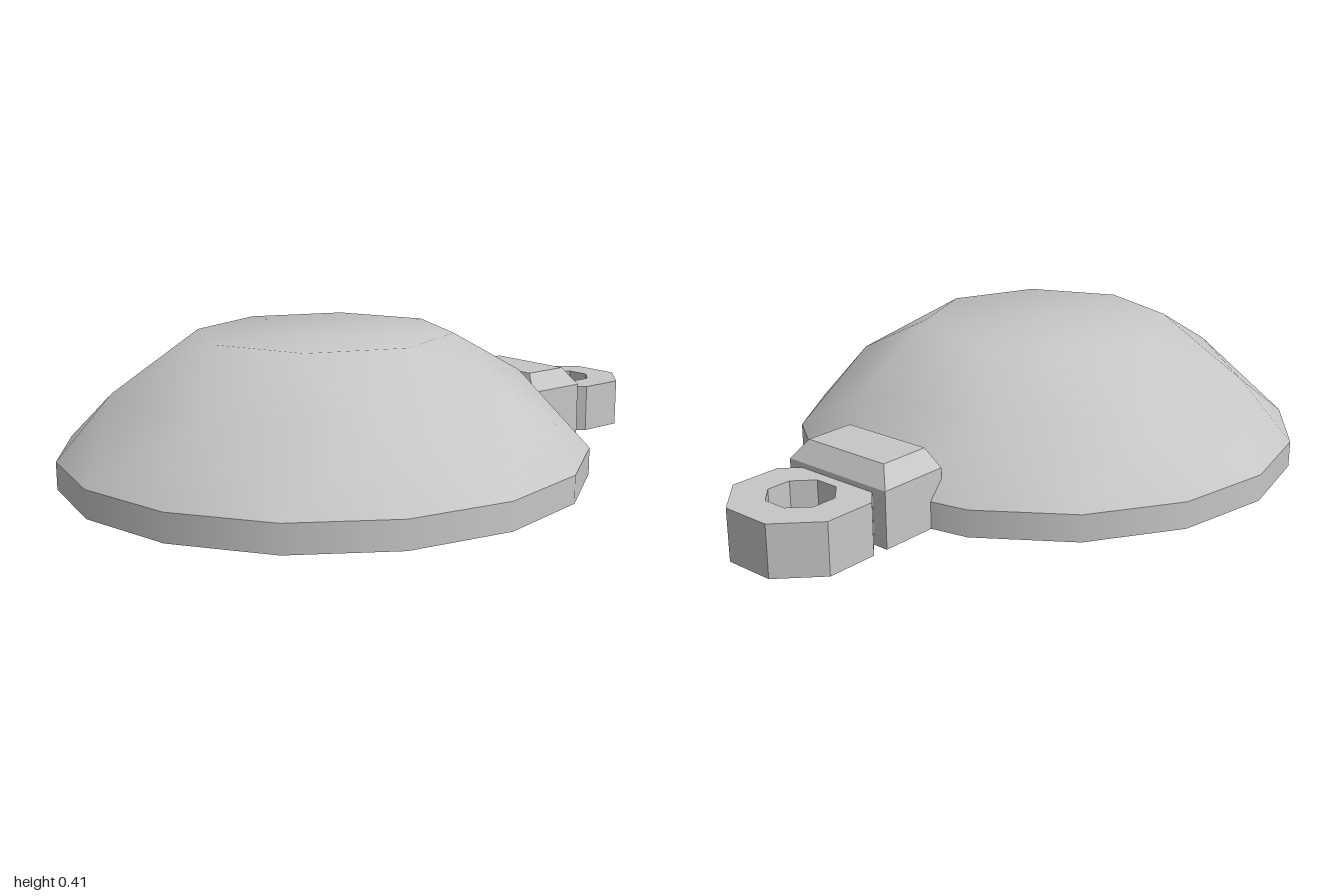
import * as THREE from 'three';

const grey = new THREE.MeshStandardMaterial({ color: 0xc6c6c6 });
grey.name = 'plain grey';

function add(group, geometry, name, x = 0, y = 0, z = 0) {
  const mesh = new THREE.Mesh(geometry, grey);
  mesh.name = name;
  mesh.position.set(x, y, z);
  group.add(mesh);
  return mesh;
}

// Gem-cut dome: 16-sided girdle, offset ring of 8, octagonal table
function domeGeometry() {
  const pos = [], index = [];
  const ring = (count, r, y, offset) => {
    const start = pos.length / 3;
    for (let i = 0; i < count; i++) {
      const a = ((i + offset) / count) * Math.PI * 2;
      pos.push(Math.sin(a) * r, y, Math.cos(a) * r);
    }
    return (i) => start + (i % count);
  };
  const girdle = ring(16, 0.78, 0.08, 0);
  const middle = ring(8, 0.62, 0.265, 0.5);
  const table = ring(8, 0.378, 0.415, 0);
  const centre = pos.length / 3;
  pos.push(0, 0.415, 0);
  for (let k = 0; k < 8; k++) {
    const g = 2 * k;
    index.push(
      girdle(g), girdle(g + 1), middle(k),
      girdle(g + 1), girdle(g + 2), middle(k),
      girdle(g + 2), middle(k + 1), middle(k),
      middle(k), middle(k + 1), table(k + 1),
      middle(k), table(k + 1), table(k),
      centre, table(k), table(k + 1)
    );
  }
  const geo = new THREE.BufferGeometry();
  geo.setAttribute('position', new THREE.Float32BufferAttribute(pos, 3));
  geo.setIndex(index);
  geo.computeVertexNormals();
  return geo;
}

// Regular octagon with flats facing the axes
function octagon(target, flat) {
  const r = flat / Math.cos(Math.PI / 8);
  const pts = [];
  for (let i = 0; i < 8; i++) {
    const a = ((i + 0.5) / 8) * Math.PI * 2;
    pts.push(new THREE.Vector2(Math.cos(a) * r, Math.sin(a) * r));
  }
  return target.setFromPoints(pts);
}

// Box whose upper part tapers inward
function collarGeometry() {
  const geo = new THREE.BoxGeometry(0.37, 0.22, 0.215, 1, 2, 1);
  const p = geo.attributes.position;
  for (let i = 0; i < p.count; i++) {
    const y = p.getY(i);
    if (y > 0.05) {
      p.setX(i, Math.sign(p.getX(i)) * 0.145);
      p.setZ(i, p.getZ(i) > 0 ? 0.085 : -0.07);
    } else if (y > -0.05) {
      p.setY(i, 0.055);
    }
  }
  const flat = geo.toNonIndexed();
  flat.computeVertexNormals();
  return flat;
}

export function createModel() {
  const model = new THREE.Group();
  model.name = 'domedPendant';

  // Domed body
  const body = new THREE.Group();
  body.name = 'body';
  body.position.z = 0.22;
  model.add(body);
  add(body, new THREE.CylinderGeometry(0.78, 0.78, 0.08, 16), 'rim', 0, 0.04, 0);
  add(body, domeGeometry(), 'dome');

  // Collar joining the body and the loop
  add(model, collarGeometry(), 'collar', 0, 0.11, -0.5855);

  // Octagonal hanging loop
  const shape = octagon(new THREE.Shape(), 0.184);
  shape.holes.push(octagon(new THREE.Path(), 0.089));
  const loop = new THREE.ExtrudeGeometry(shape, { depth: 0.15, bevelEnabled: false });
  loop.rotateX(-Math.PI / 2);
  add(model, loop, 'loop', 0, 0, -0.816);

  return model;
}
